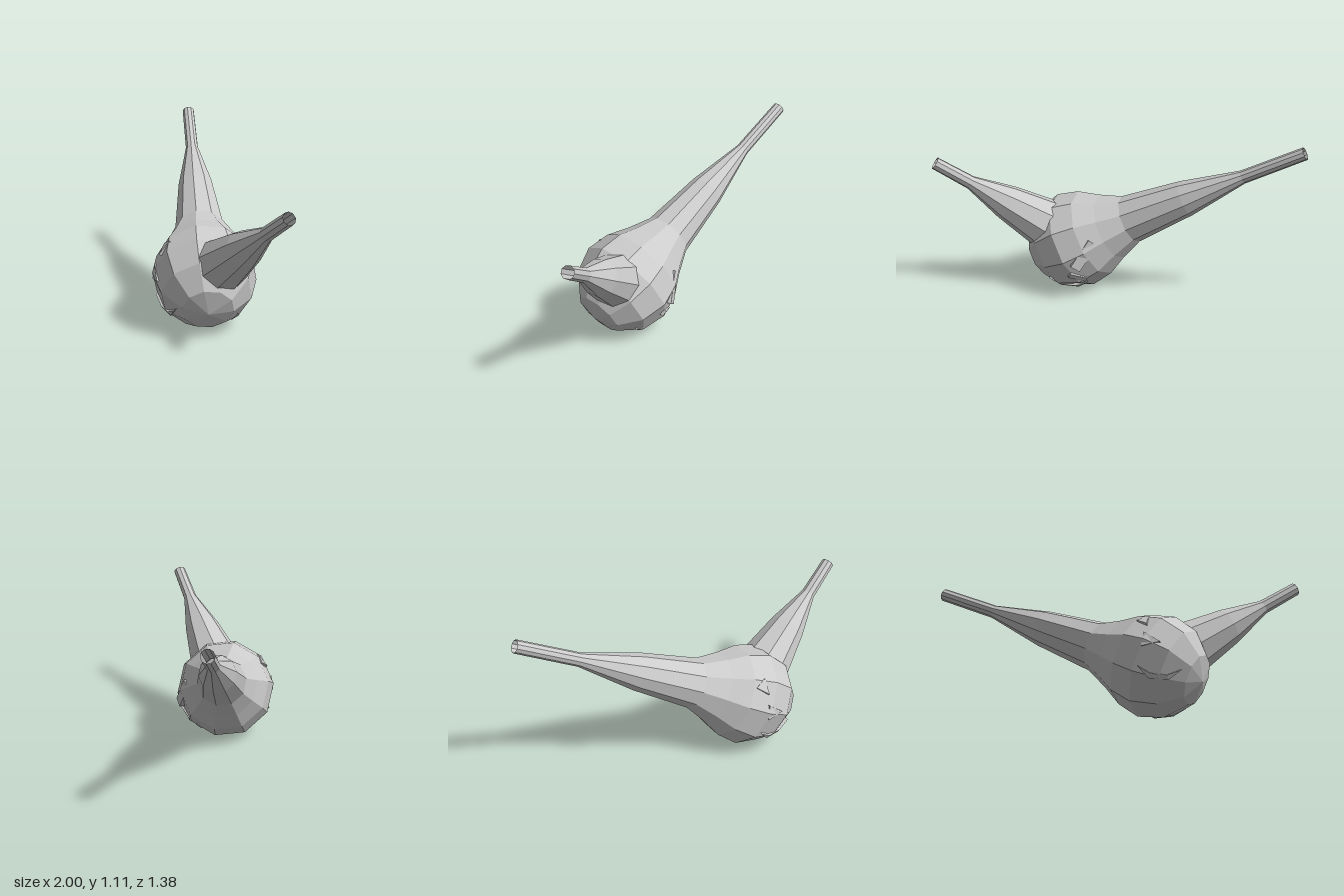
import * as THREE from 'three';

const material = new THREE.MeshStandardMaterial({ color: 0xcccccc, flatShading: true, side: THREE.DoubleSide });
const centre = new THREE.Vector3(0.11, 0.325, 0.37);

// Faceted body of revolution; profile entries are [distance along axis, radius]
function spun(name, profile, axis, sides) {
  const points = profile.map(([along, radius]) => new THREE.Vector2(radius, along));
  const mesh = new THREE.Mesh(new THREE.LatheGeometry(points, sides), material);
  mesh.name = name;
  mesh.position.copy(centre);
  mesh.quaternion.setFromUnitVectors(new THREE.Vector3(0, 1, 0), new THREE.Vector3(...axis).normalize());
  return mesh;
}

// Thin piece set into the body surface, facing outwards, rolled about its own normal
function inset(name, geometry, offset, roll, radius = 0.3) {
  const mesh = new THREE.Mesh(geometry, material);
  mesh.name = name;
  const out = new THREE.Vector3(...offset).normalize();
  mesh.position.copy(centre).addScaledVector(out, radius);
  mesh.lookAt(mesh.position.clone().add(out));
  mesh.rotateZ(roll);
  return mesh;
}

function wedge(size) {
  const shape = new THREE.Shape([
    new THREE.Vector2(-size, size * 0.6),
    new THREE.Vector2(0, -size),
    new THREE.Vector2(size * 0.6, size),
  ]);
  const geometry = new THREE.ExtrudeGeometry(shape, { depth: 0.04, bevelEnabled: false });
  return geometry.translate(0, 0, -0.02);
}

// Curved strip following the body
function strip() {
  const shape = new THREE.Shape();
  shape.moveTo(-0.13, 0.03);
  shape.lineTo(-0.05, -0.005);
  shape.lineTo(0.05, -0.005);
  shape.lineTo(0.13, 0.03);
  shape.lineTo(0.06, -0.035);
  shape.lineTo(-0.06, -0.035);
  shape.closePath();
  const geometry = new THREE.ExtrudeGeometry(shape, { depth: 0.03, bevelEnabled: false });
  const p = geometry.attributes.position;
  for (let i = 0; i < p.count; i++) p.setZ(i, p.getZ(i) - 0.01 - p.getX(i) ** 2 * 1.7);
  return geometry;
}

export function createModel() {
  const model = new THREE.Group();
  model.name = 'twoSpoutedBulb';

  // Rounded bulb drawn out into the long open neck
  model.add(spun('bulbAndLongNeck', [
    [-0.32, 0], [-0.28, 0.16], [-0.16, 0.28], [0, 0.327], [0.15, 0.295], [0.28, 0.225],
    [0.43, 0.16], [0.845, 0.117], [1.25, 0.043], [1.675, 0.041],
  ], [-1.08, 0.755, -1.035], 10));

  // Shorter open spout
  model.add(spun('shortSpout', [
    [0.2, 0.165], [0.27, 0.165], [0.54, 0.117], [0.815, 0.045], [1.08, 0.041],
  ], [0.86, 0.59, 0.275], 9));

  // Shallow pieces on the front side
  model.add(
    inset('frontUpperWedge', wedge(0.05), [-0.16, 0.19, 0.18], 0.3, 0.3),
    inset('frontMiddleWedge', wedge(0.06), [-0.17, 0.04, 0.26], 1.2, 0.295),
    inset('frontStrip', strip(), [-0.11, -0.16, 0.24], -0.1, 0.305),
  );

  // Shallow pieces on the back side
  model.add(
    inset('backBar', new THREE.BoxGeometry(0.07, 0.21, 0.05), [0.08, 0.01, -0.29], -0.6, 0.295),
    inset('backSmallBar', new THREE.BoxGeometry(0.12, 0.04, 0.04), [0.1, -0.15, -0.24], -0.4, 0.3),
    inset('backStrip', strip(), [0.12, -0.25, -0.14], 0, 0.3),
  );
  return model;
}
